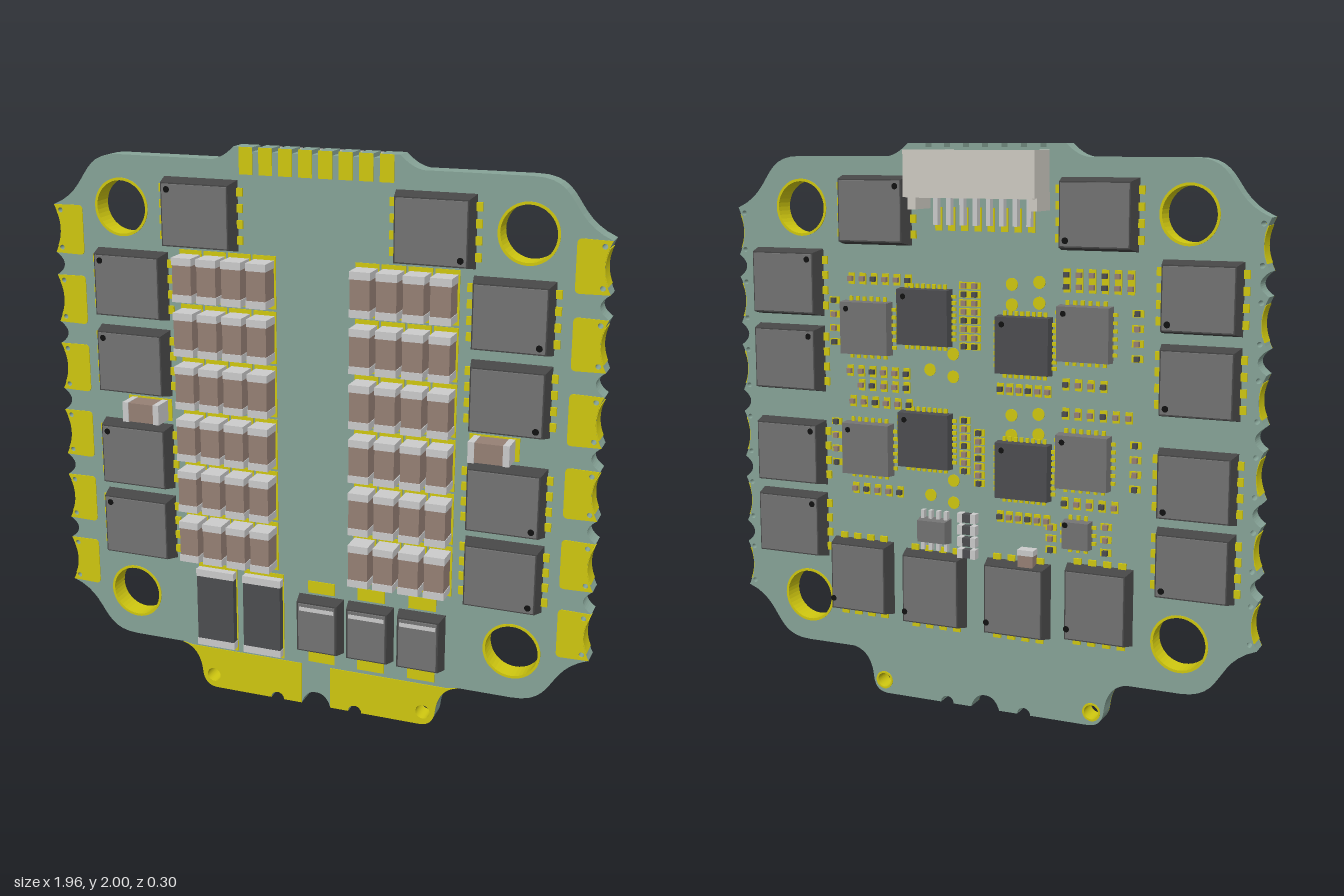
import * as THREE from 'three';

const mat = (color) => new THREE.MeshStandardMaterial({ color });
const GREEN = mat(0x87a498), GOLD = mat(0xd0c810), CHIP = mat(0x737373), DARK = mat(0x4c4d50);
const EDGE = mat(0x464646), BROWN = mat(0x968075), METAL = mat(0xcbcbc8), PLASTIC = mat(0xcfcbc3), BLACK = mat(0x111111);
const FRONT = 0.07, BACK = 0; // board faces

export function createModel() {
  const model = new THREE.Group();

  const add = (name, geometry, material, parent = model) => {
    const mesh = new THREE.Mesh(geometry, material);
    mesh.name = name;
    parent.add(mesh);
    return mesh;
  };
  const group = (name) => {
    const g = new THREE.Group();
    g.name = name;
    model.add(g);
    return g;
  };
  // Block rising from z = base to z = top, with the outer face drawn in by taper
  const block = (name, x, y, w, h, base, top, material, parent, taper = 0) => {
    const geo = new THREE.BoxGeometry(w, h, Math.abs(top - base));
    const p = geo.attributes.position;
    for (let i = 0; i < p.count; i++) {
      if (p.getZ(i) * (top - base) > 0) {
        p.setX(i, p.getX(i) - Math.sign(p.getX(i)) * taper);
        p.setY(i, p.getY(i) - Math.sign(p.getY(i)) * taper);
      }
    }
    geo.computeVertexNormals();
    geo.translate(x, y, (base + top) / 2);
    return add(name, geo, material, parent);
  };
  const extrude = (name, shape, z0, z1, material, parent) => {
    const geo = new THREE.ExtrudeGeometry(shape, { depth: z1 - z0, bevelEnabled: false, curveSegments: 20 });
    return add(name, geo.translate(0, 0, z0), material, parent);
  };
  const circle = (x, y, r) => new THREE.Path().absarc(x, y, r, 0, Math.PI * 2, true);
  const disc = (name, x, y, r, z, depth, material, parent) =>
    add(name, new THREE.CylinderGeometry(r, r, depth, 20).rotateX(Math.PI / 2).translate(x, y, z), material, parent);
  const mirrorPoints = (pts) => pts.map((p) => new THREE.Vector2(-p.x, p.y)).reverse();

  // ---- Circuit board: right half of the outline, then mirrored ----
  const padY = [0, 1, 2, 3, 4, 5].map((i) => 0.435 + 0.25 * i);
  const half = new THREE.Path();
  const tab = (path) => { // lower edge of the power tab
    path.lineTo(0.125, 0);
    path.absarc(0.15, 0, 0.025, Math.PI, 0, true);
    path.lineTo(0.39, 0);
    path.quadraticCurveTo(0.445, 0, 0.45, 0.06);
    path.quadraticCurveTo(0.46, 0.15, 0.53, 0.165);
  };
  half.moveTo(0, 0.05);
  half.quadraticCurveTo(0.04, 0.05, 0.055, 0);
  tab(half);
  half.lineTo(0.72, 0.165);
  half.bezierCurveTo(0.88, 0.165, 0.83, 0.3, 0.98, 0.35);
  padY.forEach((y, i) => {
    half.quadraticCurveTo(0.935, y, 0.98, y + 0.085);
    if (i < 5) half.quadraticCurveTo(0.92, y + 0.125, 0.98, y + 0.165);
  });
  half.bezierCurveTo(0.83, 1.83, 0.88, 1.955, 0.72, 1.955);
  half.lineTo(0.37, 1.955);
  half.quadraticCurveTo(0.33, 1.96, 0.29, 2);
  for (let k = 3; k >= 0; k--) {
    const x = 0.0703 * k;
    half.lineTo(x + 0.011, 2);
    half.lineTo(x + 0.011, 1.986);
    half.lineTo(Math.max(0, x - 0.011), 1.986);
    if (k) half.lineTo(x - 0.011, 2);
  }
  const right = half.getPoints(12);
  const board = new THREE.Shape([...right, ...mirrorPoints(right).slice(1, -1)]);
  const mounts = [[0.715, 1.775], [-0.715, 1.775], [0.715, 0.34], [-0.715, 0.34]];
  mounts.forEach(([x, y]) => board.holes.push(circle(x, y, 0.096)));
  for (const s of [-1, 1]) {
    board.holes.push(circle(s * 0.405, 0.05, 0.028));
    for (const y of padY) for (const d of [-0.066, 0.066]) board.holes.push(circle(s * 0.955, y + d, 0.009));
  }
  extrude('circuitBoard', board, BACK, FRONT, GREEN);

  // ---- Plated holes ----
  const ring = (name, x, y, outer, inner) => {
    const shape = new THREE.Shape().absarc(x, y, outer, 0, Math.PI * 2);
    shape.holes.push(circle(x, y, inner));
    extrude(name, shape, BACK - 0.003, FRONT + 0.003, GOLD);
  };
  mounts.forEach(([x, y]) => ring('mountingHoleRing', x, y, 0.101, 0.092));

  // ---- Edge pads and power pads ----
  for (const s of [-1, 1]) {
    ring('powerPadHole', s * 0.405, 0.05, 0.033, 0.026);
    const place = (mesh) => (s < 0 ? mesh.rotateY(Math.PI).translateZ(-FRONT) : mesh);
    for (const y of padY) {
      const pad = new THREE.Shape().moveTo(0.885, y - 0.087);
      pad.lineTo(0.98, y - 0.085);
      pad.quadraticCurveTo(0.935, y, 0.98, y + 0.085);
      pad.lineTo(0.885, y + 0.087);
      pad.quadraticCurveTo(0.868, y + 0.087, 0.868, y + 0.07);
      pad.lineTo(0.868, y - 0.07);
      pad.quadraticCurveTo(0.868, y - 0.087, 0.885, y - 0.087);
      for (const d of [-0.066, 0.066]) pad.holes.push(circle(0.955, y + d, 0.009));
      const m = extrude('edgePad', pad, FRONT, FRONT + 0.003, GOLD);
      if (s < 0) place(m).translateZ(-FRONT - 0.003).translateZ(FRONT);
      const plate = new THREE.Shape().moveTo(0.965, y - 0.06);
      plate.quadraticCurveTo(0.951, y, 0.965, y + 0.06);
      plate.lineTo(0.972, y + 0.06);
      plate.quadraticCurveTo(0.946, y, 0.972, y - 0.06);
      place(extrude('edgePlating', plate, BACK, FRONT, GOLD)).position.z = s < 0 ? FRONT : 0;
      if (s < 0) m.position.z = 2 * FRONT + 0.003;
    }
    const path = new THREE.Path().moveTo(0.055, 0);
    tab(path);
    path.lineTo(0.49, 0.158);
    path.lineTo(0.055, 0.158);
    const pts = path.getPoints(10);
    const power = new THREE.Shape(s > 0 ? pts : mirrorPoints(pts));
    power.holes.push(circle(s * 0.405, 0.05, 0.027));
    extrude('powerPad', power, FRONT, FRONT + 0.003, GOLD);
  }
  for (let i = 0; i < 8; i++) block('signalPad', -0.246 + 0.0703 * i, 1.955, 0.048, 0.09, FRONT, FRONT + 0.003, GOLD);

  // ---- Power transistors: tapered packages with pins on two sides ----
  const transistor = (x, y, side, dot, upright = false) => {
    const g = group('powerTransistor');
    const z = side > 0 ? FRONT : BACK, w = upright ? 0.24 : 0.27, h = upright ? 0.27 : 0.24;
    const top = z + side * 0.06;
    block('transistorEdge', x, y, w, h, z, top - side * 0.003, EDGE, g, 0.012);
    block('transistorBody', x, y, w - 0.006, h - 0.006, z, top, CHIP, g, 0.014);
    for (const s of [-1, 1]) for (let i = 0; i < 4; i++) {
      const a = -0.081 + 0.054 * i, b = s * 0.14;
      block('transistorPin', x + (upright ? a : b), y + (upright ? b : a), 0.028, 0.028, z, z + side * 0.008, GOLD, g);
    }
    disc('transistorMark', x + dot * 0.1, y - dot * 0.085, 0.011, top, 0.002, BLACK, g);
  };
  for (const s of [-1, 1]) {
    for (const y of [1.51, 1.235, 0.89, 0.62]) {
      transistor(s * 0.677, y, 1, s);
      transistor(s * 0.765, y, -1, -s);
    }
    transistor(s * 0.412, 1.77, 1, s);
    transistor(s * 0.412, 1.77, -1, -s);
  }
  for (const [x, y] of [[0.48, 0.445], [0.19, 0.43], [-0.13, 0.43], [-0.43, 0.445]]) transistor(x, y, -1, 1, true);

  // ---- Two-ended parts: body with metal ends ----
  const chipPart = (name, x, y, w, h, base, top, body, end) => {
    const g = group(name), tall = h > w, d = (top - base) * 0.03;
    block('body', x, y, w - (tall ? 0.004 : 0.01), h - (tall ? 0.01 : 0.004), base, top - d, body, g);
    for (const s of [-1, 1]) {
      if (tall) block('terminal', x, y + s * (h - end) / 2, w, end, base, top, METAL, g);
      else block('terminal', x + s * (w - end) / 2, y, end, h, base, top, METAL, g);
    }
  };

  // Capacitor banks on the front
  for (const s of [-1, 1]) {
    for (let r = 0; r < 6; r++) for (let c = 0; c < 4; c++) {
      const x = s * (0.183 + 0.091 * c), y = 1.553 - 0.1905 * r;
      block('capacitorPad', x, y, 0.083, 0.182, FRONT, FRONT + 0.003, GOLD);
      chipPart('capacitor', x, y, 0.073, 0.153, FRONT, 0.15, BROWN, 0.026);
    }
    block('sideCapacitorPad', s * 0.63, 1.063, 0.17, 0.08, FRONT, FRONT + 0.003, GOLD);
    chipPart('sideCapacitor', s * 0.63, 1.063, 0.14, 0.072, FRONT, 0.15, BROWN, 0.022);
  }

  // Current shunts and diodes on the front
  for (const x of [-0.38, -0.198]) {
    block('shuntPad', x, 0.33, 0.152, 0.33, FRONT, FRONT + 0.003, GOLD);
    chipPart('currentShunt', x, 0.33, 0.147, 0.3, FRONT, 0.102, DARK, 0.027);
  }
  for (const x of [0.022, 0.208, 0.395]) {
    for (const y of [0.195, 0.465]) block('diodePad', x, y, 0.1, 0.045, FRONT, FRONT + 0.003, GOLD);
    block('diodeEdge', x, 0.33, 0.17, 0.208, FRONT, 0.122, EDGE, model, 0.01);
    block('diodeBody', x, 0.33, 0.16, 0.2, FRONT, 0.126, CHIP, model, 0.012);
    block('diodeBand', x, 0.4, 0.13, 0.015, 0.12, 0.127, METAL);
  }

  // ---- Driver and controller chips on the back ----
  const flatChip = (name, x, y, size, height, body, pins) => {
    const g = group(name);
    block('chipBody', x, y, size, size, BACK, -height, body, g, 0.003);
    for (const s of [-1, 1]) for (let i = 0; i < pins; i++) {
      const a = (i - (pins - 1) / 2) * (size * 0.85 / pins), b = s * (size / 2 + 0.004);
      block('chipPin', x + a, y + b, 0.012, 0.022, BACK, -0.008, GOLD, g);
      block('chipPin', x + b, y + a, 0.022, 0.012, BACK, -0.008, GOLD, g);
    }
    disc('chipMark', x + size * 0.36, y + size * 0.36, 0.01, -height, 0.002, BLACK, g);
  };
  for (const dy of [0, -0.435]) {
    flatChip('controller', 0.223, 1.405 + dy, 0.2, 0.04, DARK, 8);
    flatChip('controller', -0.15, 1.325 + dy, 0.2, 0.04, DARK, 8);
    flatChip('gateDriver', 0.45, 1.357 + dy, 0.19, 0.045, CHIP, 6);
    flatChip('gateDriver', -0.37, 1.375 + dy, 0.19, 0.045, CHIP, 6);
  }
  flatChip('regulator', -0.35, 0.685, 0.1, 0.04, CHIP, 3);
  block('amplifier', 0.19, 0.645, 0.12, 0.09, BACK, -0.045, CHIP, model, 0.006);
  for (const s of [-1, 1]) for (let i = 0; i < 4; i++)
    block('amplifierLeg', 0.145 + 0.03 * i, 0.645 + s * 0.055, 0.013, 0.035, BACK, -0.02, METAL);
  for (let i = 0; i < 4; i++) chipPart('resistor', 0.06, 0.575 + 0.043 * i, 0.07, 0.034, BACK, -0.03, DARK, 0.02);
  chipPart('filterCapacitor', -0.17, 0.575, 0.06, 0.085, BACK, -0.045, BROWN, 0.02);

  // Rows of tiny parts on the back: x, y, count, step x, step y
  const rows = [
    [0.035, 1.31, 8, 0, 0.03], [0.075, 1.31, 8, 0, 0.03], [-0.55, 1.3, 4, 0, 0.05], [0.585, 1.3, 4, 0, 0.05],
    [-0.3, 1.53, 6, -0.045, 0], [-0.3, 1.57, 6, -0.045, 0], [0.29, 1.53, 6, 0.045, 0], [-0.06, 1.17, 6, -0.035, 0],
    [0.3, 1.2, 6, 0.045, 0], [0.3, 1.15, 5, 0.045, 0], [-0.3, 1.1, 6, -0.045, 0], [-0.3, 1.2, 4, -0.045, 0],
    [0.02, 0.83, 7, 0, 0.03], [0.075, 0.87, 7, 0, 0.03], [-0.55, 0.86, 4, 0, 0.05], [0.585, 0.86, 4, 0, 0.05],
    [0.29, 1.09, 6, 0.045, 0], [-0.06, 0.72, 6, -0.035, 0], [0.33, 0.77, 5, 0.045, 0], [-0.3, 0.79, 5, -0.045, 0],
    [-0.25, 0.62, 3, 0, 0.04], [-0.45, 0.63, 3, 0, 0.045],
  ];
  for (const [x, y, n, dx, dy] of rows) for (let i = 0; i < n; i++) {
    const px = x + dx * i, py = y + dy * i, w = dx ? 0.018 : 0.034, h = dx ? 0.034 : 0.018;
    block('tinyPartPad', px, py, w + 0.006, h + 0.006, BACK, -0.005, GOLD);
    block('tinyPart', px, py, dx ? w : w * 0.5, dx ? h * 0.5 : h, BACK, -0.02, i % 3 ? BROWN : DARK);
  }

  // Test points on the back
  for (const dy of [0, -0.45])
    for (const [x, y] of [[0.12, 1.2], [0.21, 1.22], [0.12, 1.28], [-0.1, 1.53], [-0.2, 1.54], [-0.1, 1.46], [-0.2, 1.47]])
      disc('testPoint', x, y + dy, 0.022, BACK - 0.001, 0.004, GOLD);

  // ---- Plug socket on the back, open at the top ----
  const socket = group('plugSocket');
  block('socketFloor', 0, 1.845, 0.46, 0.05, -0.008, -0.14, PLASTIC, socket);
  block('socketOuterWall', 0, 1.9, 0.475, 0.155, -0.133, -0.145, PLASTIC, socket);
  block('socketInnerWall', 0, 1.895, 0.46, 0.15, -0.006, -0.02, PLASTIC, socket);
  for (const s of [-1, 1]) {
    block('socketSideWall', s * 0.22, 1.9, 0.03, 0.155, -0.006, -0.14, PLASTIC, socket);
    block('socketFoot', s * 0.22, 1.81, 0.03, 0.06, BACK, -0.115, PLASTIC, socket);
  }
  for (let i = 0; i < 8; i++) {
    const x = -0.171 + 0.049 * i;
    block('socketPin', x, 1.9, 0.012, 0.09, -0.092, -0.104, METAL, socket);
    block('socketLeg', x, 1.775, 0.016, 0.1, -0.004, -0.03, METAL, socket);
    block('socketLegPad', x, 1.745, 0.026, 0.08, BACK, -0.004, GOLD, socket);
  }
  return model;
}
